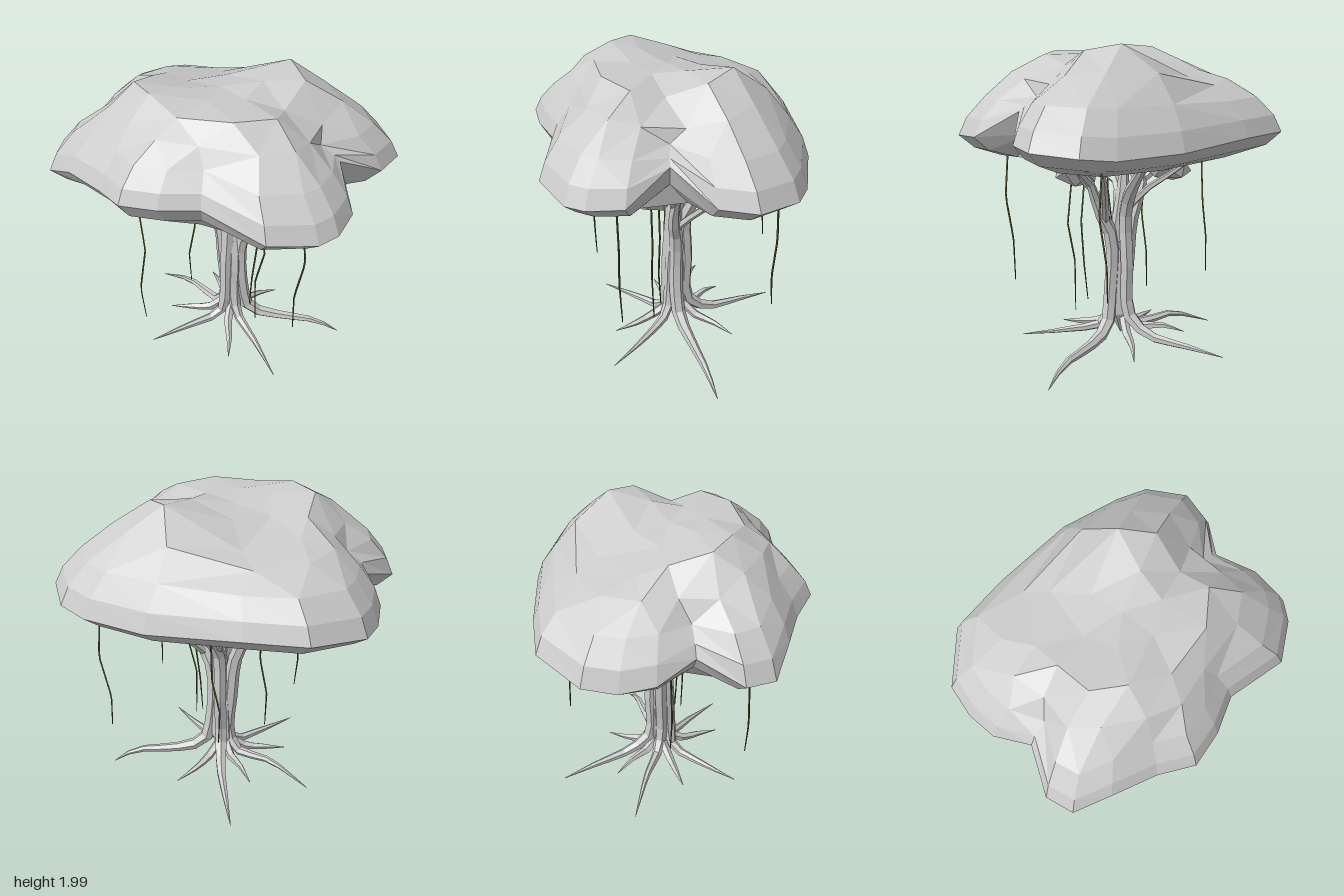
import * as THREE from 'three';

const bark = new THREE.MeshStandardMaterial({ color: 0xcccccc, flatShading: true });
const leaf = new THREE.MeshStandardMaterial({ color: 0xcccccc, flatShading: true });
const vineMat = new THREE.MeshStandardMaterial({ color: 0x5f6430, flatShading: true });

const { lerp, smoothstep } = THREE.MathUtils;
const vec = (p) => new THREE.Vector3(...p);
const bell = (dx, dz, w) => Math.exp(-(dx * dx + dz * dz) / (w * w));
const jitter = (n) => { const s = Math.sin(n * 127.1 + 3.7) * 43758.5453; return (s - Math.floor(s)) * 2 - 1; };

// Tube along a curve whose radius follows a list spread over the curve
function taperedTube(points, radii, sides, segments, material, name, type = 'centripetal') {
  const curve = new THREE.CatmullRomCurve3(points.map(vec), false, type, 0);
  const geo = new THREE.TubeGeometry(curve, segments, 1, sides);
  const pos = geo.attributes.position;
  const v = new THREE.Vector3();
  for (let i = 0; i <= segments; i++) {
    const centre = curve.getPointAt(i / segments);
    const t = curve.getUtoTmapping(i / segments) * (radii.length - 1);
    const k = Math.min(Math.floor(t), radii.length - 2);
    const r = lerp(radii[k], radii[k + 1], t - k);
    for (let j = 0; j <= sides; j++) {
      const n = i * (sides + 1) + j;
      v.fromBufferAttribute(pos, n).sub(centre).multiplyScalar(r).add(centre);
      pos.setXYZ(n, v.x, v.y, v.z);
    }
  }
  geo.computeVertexNormals();
  const mesh = new THREE.Mesh(geo, material);
  mesh.name = name;
  return mesh;
}

// Canopy rim seen from above: x, z, rim height
const RIM = [
  [0.95, -0.55, 1.46], [0.93, -0.33, 1.47], [0.76, -0.07, 1.62], [0.95, 0.15, 1.46], [0.96, 0.36, 1.45],
  [0.9, 0.48, 1.44], [0.68, 0.66, 1.47], [0.28, 0.66, 1.55], [0.08, 0.78, 1.55], [-0.13, 0.85, 1.55],
  [-0.33, 0.76, 1.52], [-0.6, 0.7, 1.52], [-0.82, 0.63, 1.42], [-0.89, 0.47, 1.42], [-0.79, 0.2, 1.52],
  [-0.93, 0, 1.43], [-0.97, -0.2, 1.4], [-0.96, -0.4, 1.42], [-0.73, -0.68, 1.46], [-0.38, -0.77, 1.46],
  [0.17, -0.86, 1.43], [0.58, -0.82, 1.42], [0.77, -0.76, 1.44],
];
// Rings from the crown out to the rim: corners, spread, rise above the rim
const UPPER = [[1, 0, 1], [6, 0.25, 1], [11, 0.5, 0.97], [16, 0.68, 0.77], [23, 0.84, 0.49], [23, 0.95, 0.23], [23, 1, 0]];
// Rings from the rim back under the crown: corners, spread, height
const UNDER = [[23, 0.91, 1.37], [16, 0.75, 1.31], [8, 0.4, 1.38], [1, 0, 1.45]];

// Point on the rim at a fraction of the way round
function rimAt(t) {
  const s = t * RIM.length, i = Math.floor(s);
  const next = RIM[(i + 1) % RIM.length];
  return RIM[i].map((a, k) => lerp(a, next[k], s - i));
}

// Crown height: three humps, a low back corner, a fold to the right-hand notch, one behind the small lobe
function crownHeight(x, z) {
  return 1.92 + 0.1 * bell(x - 0.28, z + 0.36, 0.32) + 0.08 * bell(x + 0.35, z - 0.4, 0.32)
    + 0.04 * bell(x - 0.4, z - 0.26, 0.22)
    - 0.13 * bell(x + 0.32, z + 0.32, 0.3)
    - 0.16 * bell(0, z + 0.05, 0.14) * smoothstep(x, 0.15, 0.7)
    - 0.14 * bell(x + 0.66, z - 0.2, 0.15);
}

function buildCanopy() {
  const pos = [], index = [], rings = [];
  const addRing = (count, f, place) => {
    rings.push({ count, start: pos.length / 3 });
    for (let i = 0; i < count; i++) {
      const [rx, rz, ry] = rimAt(i / count);
      // inner rings lose the notches of the rim
      const spread = f * lerp(0.93 / Math.hypot(rx, rz), 1, Math.min(1, f * f + 0.3));
      const loose = f > 0 && f < 0.8 ? 0.015 : 0;
      const n = pos.length;
      const x = rx * spread + jitter(n) * loose, z = rz * spread + jitter(n + 1) * loose;
      pos.push(x, place(x, z, ry) + jitter(n + 2) * loose * 0.6, z);
    }
  };
  UPPER.forEach(([count, f, rise]) => addRing(count, f, (x, z, ry) => lerp(ry, crownHeight(x, z), rise)));
  UNDER.forEach(([count, f, y]) => addRing(count, f, (x, z, ry) => y + (ry - 1.45) * f * f * 0.8));

  // join neighbouring rings, whatever their number of corners
  for (let k = 0; k < rings.length - 1; k++) {
    const A = rings[k], B = rings[k + 1];
    const a = (i) => A.start + i % A.count, b = (j) => B.start + j % B.count;
    for (let i = 0, j = 0; i < A.count || j < B.count;) {
      if (j === B.count || (i < A.count && (i + 1) / A.count <= (j + 1) / B.count)) {
        if (A.count > 1) index.push(a(i), a(i + 1), b(j));
        i++;
      } else {
        if (B.count > 1) index.push(a(i), b(j + 1), b(j));
        j++;
      }
    }
  }
  const geo = new THREE.BufferGeometry();
  geo.setAttribute('position', new THREE.Float32BufferAttribute(pos, 3));
  geo.setIndex(index);
  geo.computeVertexNormals();
  const mesh = new THREE.Mesh(geo, leaf);
  mesh.name = 'canopy';
  return mesh;
}

// Strands running from root tip through the trunk to branch tip
const STRANDS = [
  [[0.77, 0.01, -0.37], [0.63, 0.1, -0.3], [0.35, 0.13, -0.18], [0.19, 0.19, -0.1], [0.14, 0.4, -0.07],
    [0.13, 0.78, -0.07], [0.22, 0.97, -0.06], [0.29, 1.14, -0.08], [0.66, 1.42, -0.2]],
  [[-0.28, 0.08, -0.71], [-0.15, 0.11, -0.5], [-0.02, 0.14, -0.28], [0.04, 0.25, -0.14], [0.05, 0.6, -0.13],
    [0.06, 0.95, -0.13], [0.1, 1.13, -0.26], [0.14, 1.24, -0.4], [0.18, 1.44, -0.55]],
  [[-0.6, 0.08, -0.18], [-0.32, 0.18, -0.13], [-0.06, 0.16, -0.08], [0.02, 0.27, -0.06], [0, 0.6, -0.06],
    [-0.03, 0.88, -0.06], [-0.11, 1.08, -0.05], [-0.15, 1.22, 0], [-0.36, 1.42, 0.1]],
  [[-0.25, 0.12, 0.47], [-0.12, 0.13, 0.25], [0.02, 0.16, 0.03], [0.05, 0.3, 0], [0.05, 0.6, -0.01],
    [0.05, 0.9, -0.03], [0.04, 1.1, -0.02], [0.02, 1.2, 0.12], [-0.02, 1.42, 0.4]],
  [[0.6, 0.09, 0.3], [0.35, 0.13, 0.12], [0.15, 0.18, 0], [0.1, 0.35, -0.03], [0.1, 0.6, -0.04],
    [0.07, 0.9, -0.07], [0.04, 1.1, -0.07], [0.03, 1.25, -0.06], [0.03, 1.48, -0.04]],
];
const STRAND_RADII = [0.002, 0.02, 0.033, 0.046, 0.046, 0.046, 0.04, 0.026, 0.01];

// Thin side branches, thick end first
const BRANCHES = [
  [[0.18, 0.9, -0.08], [0.3, 1.12, -0.26], [0.42, 1.25, -0.44], [0.6, 1.45, -0.66]],
  [[0.06, 0.95, -0.12], [-0.03, 1.12, -0.26], [-0.16, 1.24, -0.38], [-0.32, 1.42, -0.48]],
  [[-0.1, 1.06, -0.05], [-0.07, 1.18, 0], [0.04, 1.28, 0.02], [0.07, 1.44, 0.03]],
  [[-0.14, 1.12, -0.04], [-0.28, 1.23, -0.08], [-0.4, 1.3, -0.1], [-0.55, 1.42, -0.12]],
  [[0.04, 1.12, 0], [0.1, 1.2, 0.18], [0.16, 1.28, 0.3], [0.22, 1.42, 0.45]],
  [[-0.16, 1.18, 0], [-0.22, 1.24, 0.18], [-0.28, 1.3, 0.32], [-0.32, 1.42, 0.45]],
  [[0.28, 1.12, -0.06], [0.38, 1.24, -0.02], [0.5, 1.32, 0], [0.66, 1.42, 0.02]],
];

// Short roots between the long ones
const SHORT_ROOTS = [
  [[0.06, 0.24, -0.1], [0.1, 0.15, -0.2], [0.14, 0.12, -0.32], [0.22, 0.08, -0.46]],
  [[0.02, 0.24, -0.06], [-0.07, 0.15, 0], [-0.2, 0.13, 0.06], [-0.33, 0.12, 0.12]],
  [[0.08, 0.24, -0.04], [0.12, 0.16, 0.08], [0.2, 0.13, 0.2], [0.27, 0.11, 0.33]],
  [[0.04, 0.24, -0.08], [-0.04, 0.16, -0.16], [-0.14, 0.17, -0.24], [-0.26, 0.13, -0.34]],
];

// Hanging vines: depth z, then x, y pairs from the top down
const VINES = [
  [0.53, [[-0.25, 1.4], [-0.22, 0.97], [-0.27, 0.64], [-0.25, 0.39]]],
  [0.03, [[-0.21, 1.2], [-0.17, 0.88], [-0.22, 0.6], [-0.215, 0.35]]],
  [-0.64, [[-0.13, 1.4], [-0.14, 1.08], [-0.18, 0.87], [-0.175, 0.65]]],
  [0.03, [[0.26, 1.2], [0.3, 0.88], [0.275, 0.6], [0.255, 0.35]]],
  [0.07, [[0.33, 1.2], [0.375, 0.87], [0.32, 0.62], [0.325, 0.28]]],
  [-0.67, [[0.57, 1.42], [0.6, 1.09], [0.545, 0.8], [0.55, 0.6]]],
  [0.23, [[0.69, 1.4], [0.725, 1.06], [0.675, 0.78], [0.675, 0.51]]],
];

// Small leaf clumps under the canopy: centre, half sizes, turn, tilt
const CLUMPS = [
  [[-0.29, 1.2, -0.09], [0.19, 0.1, 0.15], 0.3, 0.25],
  [[0.31, 1.2, 0.06], [0.15, 0.1, 0.14], 1.1, 0.15],
];

export function createModel() {
  const tree = new THREE.Group();
  tree.name = 'tree';
  tree.add(buildCanopy());

  CLUMPS.forEach(([centre, size, turn, tilt]) => {
    const clump = new THREE.Mesh(new THREE.IcosahedronGeometry(1, 0).rotateY(turn).scale(...size), leaf);
    clump.position.set(...centre);
    clump.rotation.z = tilt;
    clump.name = 'leafClump';
    tree.add(clump);
  });

  const trunk = new THREE.Group();
  trunk.name = 'trunk';
  STRANDS.forEach((p) => trunk.add(taperedTube(p, STRAND_RADII, 6, 18, bark, 'trunkStrand')));
  // core that closes the gaps between strands
  trunk.add(taperedTube([[0.06, 0.11, -0.07], [0.06, 0.18, -0.07], [0.06, 0.6, -0.07], [0.05, 0.98, -0.07]],
    [0.002, 0.08, 0.06, 0.02], 6, 6, bark, 'trunkCore'));
  tree.add(trunk);

  BRANCHES.forEach((p) => tree.add(taperedTube(p, [0.026, 0.021, 0.015, 0.006], 5, 6, bark, 'branch')));
  SHORT_ROOTS.forEach((p) => tree.add(taperedTube(p, [0.03, 0.03, 0.02, 0.002], 5, 6, bark, 'root')));

  // vines hang in straight, kinked lengths
  VINES.forEach(([z, path]) => {
    const points = path.map(([x, y], i) => [x, y, z + (i % 2 ? -0.006 : 0.006)]);
    tree.add(taperedTube(points, [0.006, 0.006, 0.006, 0.003], 4, 14, vineMat, 'vine', 'catmullrom'));
  });
  return tree;
}
